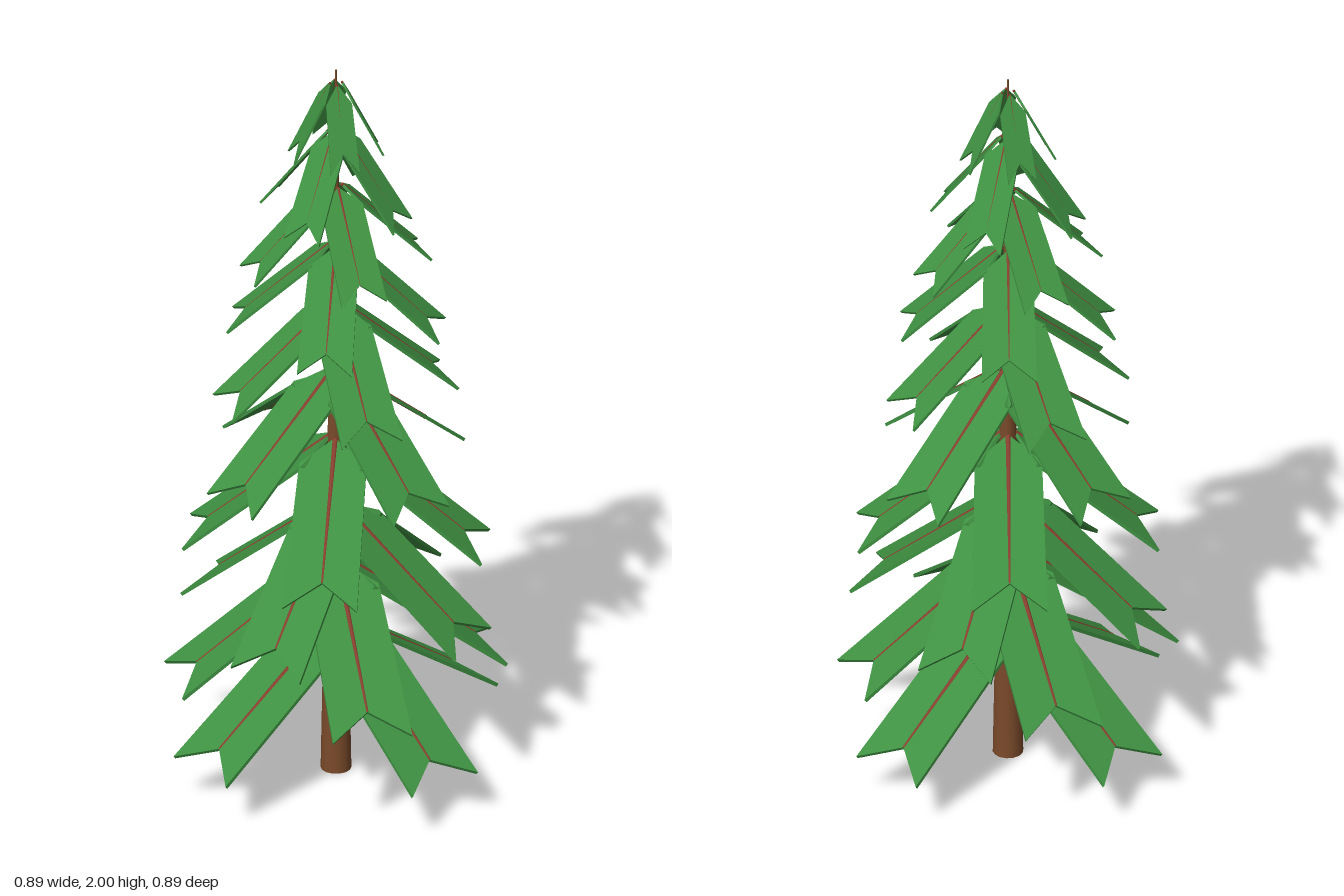
import * as THREE from 'three';

const green = new THREE.MeshStandardMaterial({ color: 0x3f9142, flatShading: true });
const twigBrown = new THREE.MeshStandardMaterial({ color: 0x8a4030 });
const barkBrown = new THREE.MeshStandardMaterial({ color: 0x7a4a2a });

// One entry per tier: turn in degrees, tip radius, tip height, height at the trunk, half width
const tiers = [
  [0, 0.44, 0.13, 0.43, 0.105],
  [-26, 0.42, 0.295, 0.6, 0.103],
  [24, 0.39, 0.445, 0.76, 0.098],
  [45, 0.38, 0.65, 0.95, 0.095],
  [0, 0.345, 0.86, 1.14, 0.09],
  [-21, 0.3, 1.075, 1.33, 0.08],
  [45, 0.27, 1.265, 1.5, 0.07],
  [-21, 0.235, 1.445, 1.67, 0.06],
  [24, 0.19, 1.595, 1.83, 0.05],
  [-27, 0.115, 1.76, 1.965, 0.037],
];
const START = 0.015; // where a branch leaves the trunk axis

// Branch pointing to +z and drooping: a thin chevron-ended needle panel on a twig
function branch(tipR, tipY, topY, w) {
  const run = tipR - START;
  const drop = topY - tipY;
  const length = Math.hypot(run, drop);
  const sweep = (w * 0.6 * length) / run;
  const thick = 0.003 + w * 0.06;

  // Panel outline, y running down the branch
  const outline = new THREE.Shape([
    [0, 0], [w * 0.9, sweep], [w, length], [0, length - sweep], [-w, length], [-w * 0.9, sweep],
  ].map(([x, y]) => new THREE.Vector2(x, y)));
  const panelGeo = new THREE.ExtrudeGeometry(outline, { depth: thick, bevelEnabled: false });
  panelGeo.translate(0, 0, -thick / 2);
  const needles = new THREE.Mesh(panelGeo, green);
  needles.name = 'needles';

  // Twig along the centre line
  const twigLength = length - sweep;
  const twig = new THREE.Mesh(
    new THREE.CylinderGeometry(w * 0.06, w * 0.085, twigLength, 6), twigBrown);
  twig.position.y = twigLength / 2;
  twig.name = 'twig';

  const g = new THREE.Group();
  g.name = 'branch';
  g.add(needles, twig);
  g.position.set(0, topY, START);
  g.rotation.x = Math.PI / 2 + Math.atan2(drop, run);
  return g;
}

export function createModel() {
  const tree = new THREE.Group();
  tree.name = 'pineTree';

  // Trunk tapering to a thin point
  const trunk = new THREE.Mesh(new THREE.CylinderGeometry(0.002, 0.039, 2, 14), barkBrown);
  trunk.position.y = 1;
  trunk.name = 'trunk';
  tree.add(trunk);

  // Four branches per tier
  tiers.forEach(([turn, ...size], i) => {
    const tier = new THREE.Group();
    tier.name = 'branchTier' + (i + 1);
    for (let k = 0; k < 4; k++) {
      const arm = new THREE.Group();
      arm.name = 'branchArm';
      arm.add(branch(...size));
      arm.rotation.y = THREE.MathUtils.degToRad(turn + k * 90);
      tier.add(arm);
    }
    tree.add(tier);
  });
  return tree;
}
